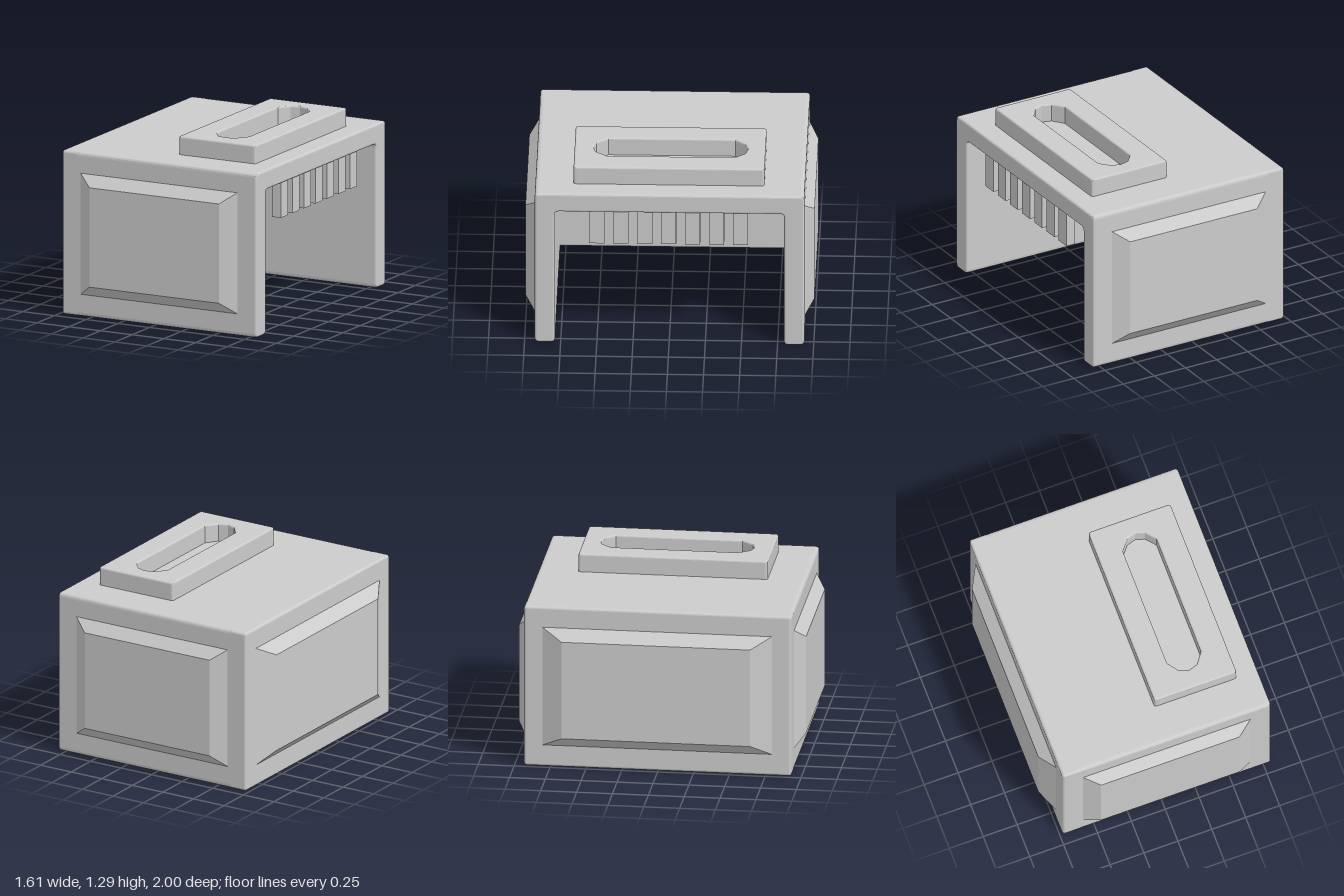
import * as THREE from 'three';
import { RoundedBoxGeometry } from 'three/addons/geometries/RoundedBoxGeometry.js';

const material = new THREE.MeshStandardMaterial({ color: 0xcccccc });

// Overall housing limits and wall thickness
const X0 = -0.73, X1 = 0.805, Z0 = -0.935, Z1 = 0.93, TOP = 1.165, WALL = 0.14;

function part(name, geometry, x = 0, y = 0, z = 0) {
  const mesh = new THREE.Mesh(geometry, material);
  mesh.name = name;
  mesh.position.set(x, y, z);
  return mesh;
}

// Closed outline with every corner rounded
function roundedOutline(points, r) {
  const shape = new THREE.Shape();
  const p = points.map(([x, y]) => new THREE.Vector2(x, y));
  p.forEach((c, i) => {
    const prev = p[(i + p.length - 1) % p.length], next = p[(i + 1) % p.length];
    const a = c.clone().add(prev.clone().sub(c).setLength(r));
    const b = c.clone().add(next.clone().sub(c).setLength(r));
    if (i === 0) shape.moveTo(a.x, a.y); else shape.lineTo(a.x, a.y);
    shape.quadraticCurveTo(c.x, c.y, b.x, b.y);
  });
  shape.closePath();
  return shape;
}

// Extrusion of total length len whose bevel stays inside the outline
function softExtrude(shape, len, bevel) {
  return new THREE.ExtrudeGeometry(shape, {
    depth: len - 2 * bevel, bevelThickness: bevel, bevelSize: bevel,
    bevelOffset: -bevel, bevelSegments: 3, curveSegments: 4,
  }).translate(0, 0, bevel);
}

// Raised panel: a box whose outer face is narrowed to form sloped sides
function raisedPanel(name, w, h, d, topW, topH) {
  const geo = new THREE.BoxGeometry(w, h, d).translate(0, 0, d / 2);
  const pos = geo.attributes.position;
  for (let i = 0; i < pos.count; i++) {
    if (pos.getZ(i) > d / 2) {
      pos.setX(i, pos.getX(i) * topW / w);
      pos.setY(i, pos.getY(i) * topH / h);
    }
  }
  geo.computeVertexNormals();
  return part(name, geo);
}

export function createModel() {
  const model = new THREE.Group();
  model.name = 'housing';

  // Front wall, roof and back wall as one arch running along x
  const arch = roundedOutline([
    [-Z1, 0], [-Z1 + WALL, 0], [-Z1 + WALL, TOP - WALL], [-Z0 - WALL, TOP - WALL],
    [-Z0 - WALL, 0], [-Z0, 0], [-Z0, TOP], [-Z1, TOP],
  ], 0.028);
  const archStart = X0 + 0.06;
  const archGeo = softExtrude(arch, X1 - archStart, 0.016).rotateY(Math.PI / 2);
  model.add(part('wallsAndRoof', archGeo, archStart, 0, 0));

  // Closed end wall
  model.add(part('endWall', new RoundedBoxGeometry(WALL, TOP, Z1 - Z0, 3, 0.02),
    X0 + WALL / 2, TOP / 2, (Z0 + Z1) / 2));

  // Raised panels on the three closed sides
  const panelY = 0.586;
  for (const [name, z, turn] of [['frontPanel', Z1, 0], ['backPanel', Z0, Math.PI]]) {
    const panel = raisedPanel(name, 1.235, 0.86, 1 - Math.abs(z), 1.02, 0.705);
    panel.position.set(0.037, panelY, z);
    panel.rotation.y = turn;
    model.add(panel);
  }
  const endPanel = raisedPanel('endPanel', 1.6, 0.86, 0.078, 1.315, 0.705);
  endPanel.position.set(X0, panelY, -0.005);
  endPanel.rotation.y = -Math.PI / 2;
  model.add(endPanel);

  // Slotted block on the roof
  const blockShape = roundedOutline([
    [0.045, -0.665], [0.65, -0.665], [0.65, 0.655], [0.045, 0.655],
  ], 0.02);
  const slot = new THREE.Path();
  const slotX = 0.347;
  [[0.125, 0.445], [0.065, 0.515], [0, 0.535], [-0.065, 0.515], [-0.125, 0.445],
    [-0.125, -0.435], [-0.065, -0.515], [0, -0.535], [0.065, -0.515], [0.125, -0.435]]
    .forEach(([x, y], i) => (i ? slot.lineTo(slotX + x, y) : slot.moveTo(slotX + x, y)));
  slot.closePath();
  blockShape.holes.push(slot);
  const sink = 0.03;
  const blockGeo = softExtrude(blockShape, 0.13 + sink, 0.012).rotateX(-Math.PI / 2);
  model.add(part('slottedBlock', blockGeo, 0, TOP - sink, 0));

  // Row of teeth hanging from the roof at the open end
  const teeth = new THREE.Group();
  teeth.name = 'teeth';
  const toothGeo = new THREE.BoxGeometry(0.07, 0.275, 0.105);
  for (let i = 0; i < 7; i++) {
    teeth.add(part('tooth', toothGeo, 0.755, 0.9125, 0.5 - i * 0.1655));
  }
  model.add(teeth);

  return model;
}
